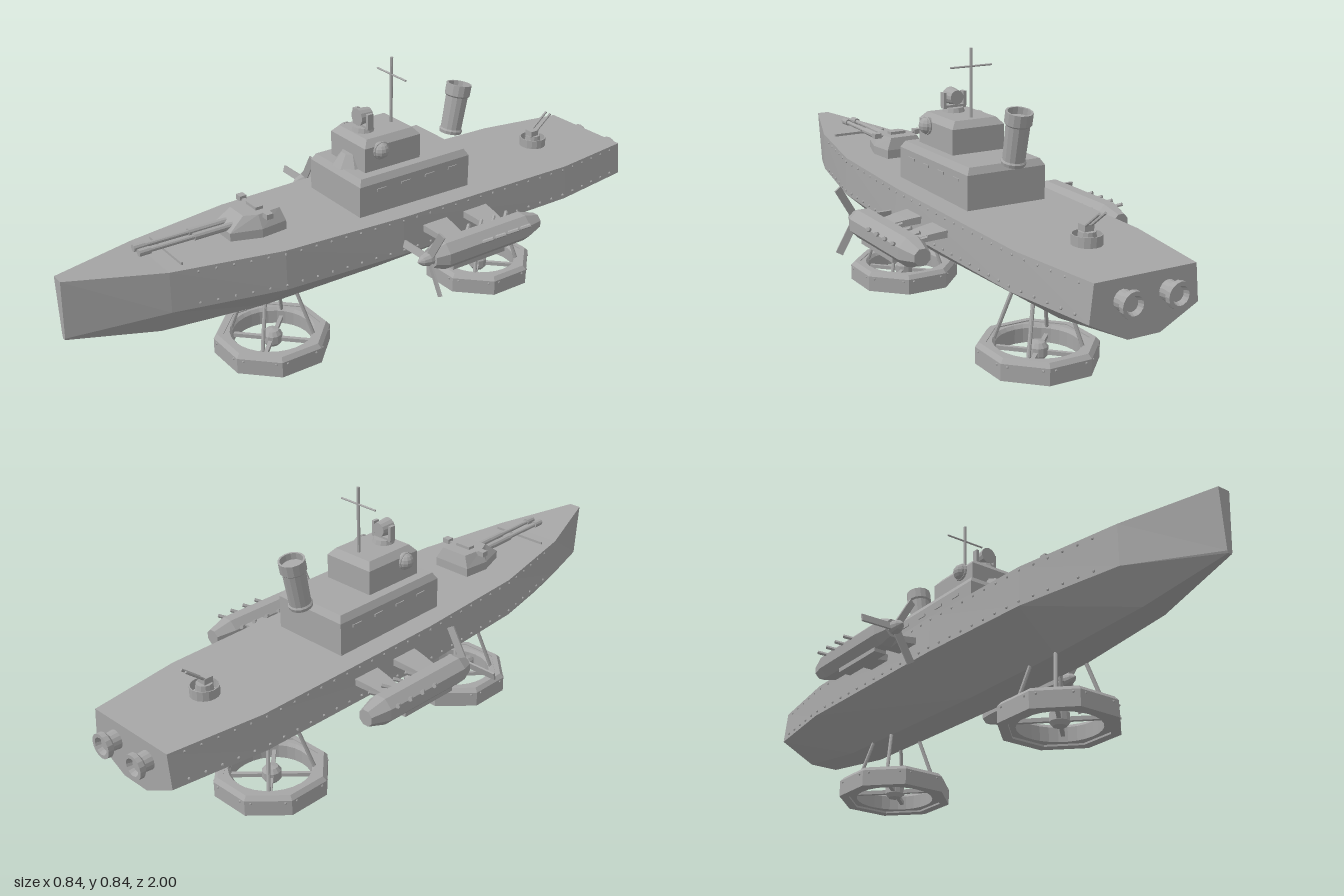
import * as THREE from 'three';

const gray = new THREE.MeshStandardMaterial({ color: 0xa6a6a6, flatShading: true });
gray.name = 'hull gray';

// Hull stations: z, deck half-width, deck y, chine half-width, chine y, keel half-width, keel y
const STATIONS = [
  [-0.95, 0.157, 0.405, 0.168, 0.30, 0.05, 0.24],
  [-0.66, 0.198, 0.41, 0.207, 0.30, 0.056, 0.2],
  [0.0, 0.2, 0.42, 0.207, 0.3, 0.056, 0.188],
  [0.4, 0.18, 0.425, 0.184, 0.302, 0.055, 0.19],
  [0.73, 0.115, 0.433, 0.115, 0.308, 0.04, 0.212],
  [1.0, 0.02, 0.45, 0.009, 0.27, 0.006, 0.264],
];

function hullAt(z) {
  let i = 0;
  while (i < STATIONS.length - 2 && z > STATIONS[i + 1][0]) i++;
  const a = STATIONS[i], b = STATIONS[i + 1], t = (z - a[0]) / (b[0] - a[0]);
  return a.map((v, k) => v + (b[k] - v) * t);
}

// Closed solid through rings of points, counter-clockwise seen from the last ring's side
function loft(rings) {
  const n = rings[0].length, idx = [], last = (rings.length - 1) * n;
  for (let r = 0; r < rings.length - 1; r++) for (let j = 0; j < n; j++) {
    const a = r * n + j, b = r * n + (j + 1) % n;
    idx.push(a, b, b + n, a, b + n, a + n);
  }
  for (let j = 1; j < n - 1; j++) idx.push(0, j + 1, j, last, last + j, last + j + 1);
  let g = new THREE.BufferGeometry();
  g.setAttribute('position', new THREE.Float32BufferAttribute(rings.flat(2), 3));
  g.setIndex(idx);
  g = g.toNonIndexed();
  g.computeVertexNormals();
  return g;
}

// Rectangle ring at height y: half-width w, from back z0 to front z1
const rect = (y, w, z0, z1) => [[w, y, z1], [w, y, z0], [-w, y, z0], [-w, y, z1]];

function add(parent, name, geo, x = 0, y = 0, z = 0) {
  const m = new THREE.Mesh(geo, gray);
  m.name = name;
  m.position.set(x, y, z);
  parent.add(m);
  return m;
}

const box = (w, h, d) => new THREE.BoxGeometry(w, h, d);
const cyl = (rt, rb, h, n = 12) => new THREE.CylinderGeometry(rt, rb, h, n);
const lathe = (pts, n) => new THREE.LatheGeometry(pts.map(p => new THREE.Vector2(...p)), n);

function rod(parent, name, a, b, r, n = 8) {
  const A = new THREE.Vector3(...a), B = new THREE.Vector3(...b), d = B.clone().sub(A);
  const m = add(parent, name, cyl(r, r, d.length(), n));
  m.position.copy(A).add(B).multiplyScalar(0.5);
  m.quaternion.setFromUnitVectors(new THREE.Vector3(0, 1, 0), d.normalize());
  return m;
}

function group(parent, name, x = 0, y = 0, z = 0) {
  const g = new THREE.Group();
  g.name = name;
  g.position.set(x, y, z);
  parent.add(g);
  return g;
}

function buildHull(ship) {
  add(ship, 'hull', loft(STATIONS.map(([z, d, dy, c, cy, k, ky]) =>
    [[d, dy, z], [-d, dy, z], [-c, cy, z], [-k, ky, z], [k, ky, z], [c, cy, z]])));
  // Rivet rows below the deck edge and above the chine
  const rivet = new THREE.SphereGeometry(0.0045, 6, 4);
  const rivets = group(ship, 'hullRivets');
  for (let z = -0.9; z < 0.7; z += 0.05) {
    const [, d, dy, c, cy] = hullAt(z);
    for (const s of [-1, 1]) {
      add(rivets, 'rivet', rivet, s * d, dy - 0.012, z);
      add(rivets, 'rivet', rivet, s * c, cy + 0.014, z);
    }
  }
  // Stern thrusters
  for (const s of [-1, 1]) {
    const g = lathe([[0, -0.02], [0.03, -0.02], [0.026, 0.025], [0.037, 0.034], [0.037, 0.05], [0.026, 0.05], [0.02, 0.035], [0, 0.035]], 16);
    add(ship, 'sternThruster', g.rotateX(-Math.PI / 2), s * 0.07, 0.348, -0.95);
  }
  // Breakwater ahead of the guns
  add(ship, 'breakwater', box(0.19, 0.008, 0.005), 0, 0.436, 0.68);
}

function buildSuperstructure(ship) {
  add(ship, 'lowerDeckhouse', loft([rect(0.41, 0.13, -0.305, 0.108), rect(0.518, 0.13, -0.305, 0.108), rect(0.538, 0.118, -0.293, 0.096)]));
  add(ship, 'upperDeckhouse', loft([rect(0.53, 0.088, -0.145, 0.06), rect(0.614, 0.088, -0.145, 0.06), rect(0.635, 0.07, -0.127, 0.042)]));
  add(ship, 'bridgeCupola', cyl(0.028, 0.057, 0.04, 8).rotateY(Math.PI / 8), 0, 0.556, 0.05);
  // Slit windows along the deckhouse
  for (const s of [-1, 1]) for (let i = 0; i < 4; i++)
    add(ship, 'slitWindow', box(0.004, 0.008, 0.035), s * 0.131, 0.495, -0.24 + i * 0.09);
  // Ball lamps on the upper deckhouse
  for (const s of [-1, 1]) {
    add(ship, 'sideLamp', new THREE.SphereGeometry(0.026, 12, 8), s * 0.091, 0.6, 0.005);
    add(ship, 'sideLampRing', new THREE.TorusGeometry(0.025, 0.004, 6, 14).rotateY(Math.PI / 2), s * 0.093, 0.6, 0.005);
  }
  // Searchlight in its yoke
  const light = group(ship, 'searchlight', 0, 0.68, 0.005);
  add(light, 'searchlightBase', cyl(0.03, 0.036, 0.018, 12), 0, -0.04, 0);
  add(light, 'searchlightYoke', box(0.076, 0.01, 0.02), 0, -0.029, 0);
  for (const s of [-1, 1]) add(light, 'yokeArm', box(0.01, 0.045, 0.02), s * 0.034, -0.007, 0);
  add(light, 'searchlightDrum', cyl(0.027, 0.022, 0.045, 14).rotateX(Math.PI / 2));
  // Mast and yard
  rod(ship, 'mast', [0, 0.62, -0.1], [0, 0.842, -0.1], 0.005);
  rod(ship, 'yard', [-0.07, 0.788, -0.1], [0.07, 0.788, -0.1], 0.003);
  // Raked funnel with rims
  const funnel = add(ship, 'funnel', lathe([[0, -0.08], [0.035, -0.08], [0.037, -0.07], [0.033, -0.065], [0.035, 0.04],
    [0.04, 0.045], [0.04, 0.08], [0.034, 0.08], [0.033, 0.06], [0, 0.06]], 14), 0, 0.622, -0.352);
  funnel.rotation.x = -0.19;
}

function buildGuns(ship) {
  // Main turret: six-sided plan, sloping faces
  const plan = (y, w, f, z0, z1) => [[f, y, z1], [w, y, 0.41], [w * 0.88, y, z0], [-w * 0.88, y, z0], [-w, y, 0.41], [-f, y, z1]];
  const turret = group(ship, 'mainTurret');
  add(turret, 'turretHouse', loft([plan(0.42, 0.075, 0.046, 0.325, 0.5), plan(0.452, 0.075, 0.046, 0.325, 0.5), plan(0.49, 0.054, 0.036, 0.335, 0.45)]));
  add(turret, 'turretHatch', box(0.055, 0.012, 0.025), 0, 0.493, 0.39);
  for (const s of [-1, 1]) {
    add(turret, 'rangefinder', box(0.024, 0.016, 0.022), s * 0.074, 0.49, 0.39);
    add(turret, 'rangefinderArm', box(0.03, 0.006, 0.012), s * 0.056, 0.487, 0.39);
    rod(turret, 'gunSleeve', [s * 0.017, 0.46, 0.46], [s * 0.017, 0.461, 0.6], 0.011, 10);
    rod(turret, 'gunBarrel', [s * 0.017, 0.461, 0.59], [s * 0.017, 0.463, 0.77], 0.007, 10);
    rod(turret, 'muzzle', [s * 0.017, 0.463, 0.735], [s * 0.017, 0.463, 0.77], 0.011, 10);
  }
  // Stern twin gun on a drum behind a curved shield
  const stern = group(ship, 'sternGun', 0, 0, -0.7);
  add(stern, 'gunDrum', cyl(0.024, 0.028, 0.04, 12), 0, 0.425, 0);
  add(stern, 'gunShield', lathe([[0.04, 0], [0.043, 0], [0.043, 0.03], [0.04, 0.03], [0.04, 0]], 16), 0, 0.408, 0);
  add(stern, 'gunBreech', box(0.03, 0.022, 0.03), 0, 0.452, 0.005);
  for (const s of [-1, 1]) rod(stern, 'sternBarrel', [s * 0.01, 0.44, 0.02], [s * 0.01, 0.508, -0.065], 0.004, 6);
}

function buildEngine(ship, side) {
  const e = group(ship, side > 0 ? 'leftEngine' : 'rightEngine', side * 0.331, 0.342, 0);
  add(e, 'nacelle', lathe([[0, -0.41], [0.026, -0.41], [0.045, -0.35], [0.046, -0.04], [0.03, 0], [0, 0]], 8)
    .rotateY(Math.PI / 8).rotateX(Math.PI / 2));
  add(e, 'radiator', box(0.04, 0.02, 0.2), 0, -0.043, -0.17);
  add(e, 'spinner', lathe([[0, -0.015], [0.021, -0.015], [0.021, 0.012], [0.015, 0.032], [0, 0.05]], 12).rotateX(Math.PI / 2));
  // Three-bladed propeller
  for (let i = 0; i < 3; i++) {
    const blade = group(e, 'propellerBlade', 0, 0, 0.008);
    blade.rotation.z = Math.PI / 3 + i * Math.PI * 2 / 3;
    add(blade, 'blade', box(0.1, 0.023, 0.006), 0.065, 0, 0).rotation.x = 0.25;
  }
  // Slanted exhaust stubs on both flanks
  for (const s of [-1, 1]) for (let i = 0; i < 4; i++) {
    const z = -0.16 - i * 0.05;
    rod(e, 'exhaust', [s * 0.032, 0.014, z], [s * 0.056, 0.029, z - 0.03], 0.006, 6);
  }
  // Tapered pylons from the hull
  for (const z of [-0.275, -0.118]) {
    const ring = (x, y, h, d) => [[x, y + h, z + d], [x, y - h, z + d], [x, y - h, z - d], [x, y + h, z - d]];
    const rings = [ring(0.19, 0.365, 0.011, 0.047), ring(0.245, 0.36, 0.01, 0.04), ring(0.31, 0.352, 0.008, 0.031)];
    const mirrored = rings.map(r => r.map(([x, y, zz]) => [-x, y, zz]).reverse());
    add(ship, 'enginePylon', loft(side > 0 ? rings : mirrored));
  }
}

function buildLiftFan(ship, z) {
  const fan = group(ship, 'liftFan', 0, 0, z);
  const k = 1 / Math.cos(Math.PI / 8);
  // Octagonal housing with a round duct inside
  add(fan, 'fanHousing', lathe([[0.138 * k, 0], [0.166 * k, 0], [0.166 * k, 0.05], [0.155 * k, 0.063], [0.138 * k, 0.063], [0.138 * k, 0]], 8)
    .rotateY(Math.PI / 8));
  add(fan, 'fanDuct', lathe([[0.122, 0.006], [0.149, 0.006], [0.149, 0.06], [0.13, 0.06], [0.122, 0.05], [0.122, 0.006]], 28));
  for (let i = 0; i < 2; i++)
    add(fan, 'fanSpoke', box(0.255, 0.012, 0.012), 0, 0.028, 0).rotation.y = Math.PI / 4 + i * Math.PI / 2;
  add(fan, 'fanHub', lathe([[0, 0.006], [0.02, 0.008], [0.03, 0.02], [0.03, 0.045], [0.02, 0.058], [0, 0.062]], 12));
  const rivet = new THREE.SphereGeometry(0.004, 6, 4);
  for (let i = 0; i < 8; i++) {
    const face = group(fan, 'housingFace');
    face.rotation.y = i * Math.PI / 4;
    for (const s of [-1, 1]) add(face, 'rivet', rivet, s * 0.05, 0.042, 0.166);
  }
  // Four splayed legs up to the keel
  for (const sx of [-1, 1]) for (const sz of [-1, 1])
    rod(fan, 'fanStrut', [sx * 0.092, 0.05, sz * 0.092], [sx * 0.053, 0.205, sz * 0.053], 0.006);
}

export function createModel() {
  const model = new THREE.Group();
  model.name = 'airship';
  const ship = group(model, 'ship', 0.022);
  buildHull(ship);
  buildSuperstructure(ship);
  buildGuns(ship);
  for (const s of [-1, 1]) buildEngine(ship, s);
  for (const z of [0.345, -0.478]) buildLiftFan(ship, z);
  return model;
}
